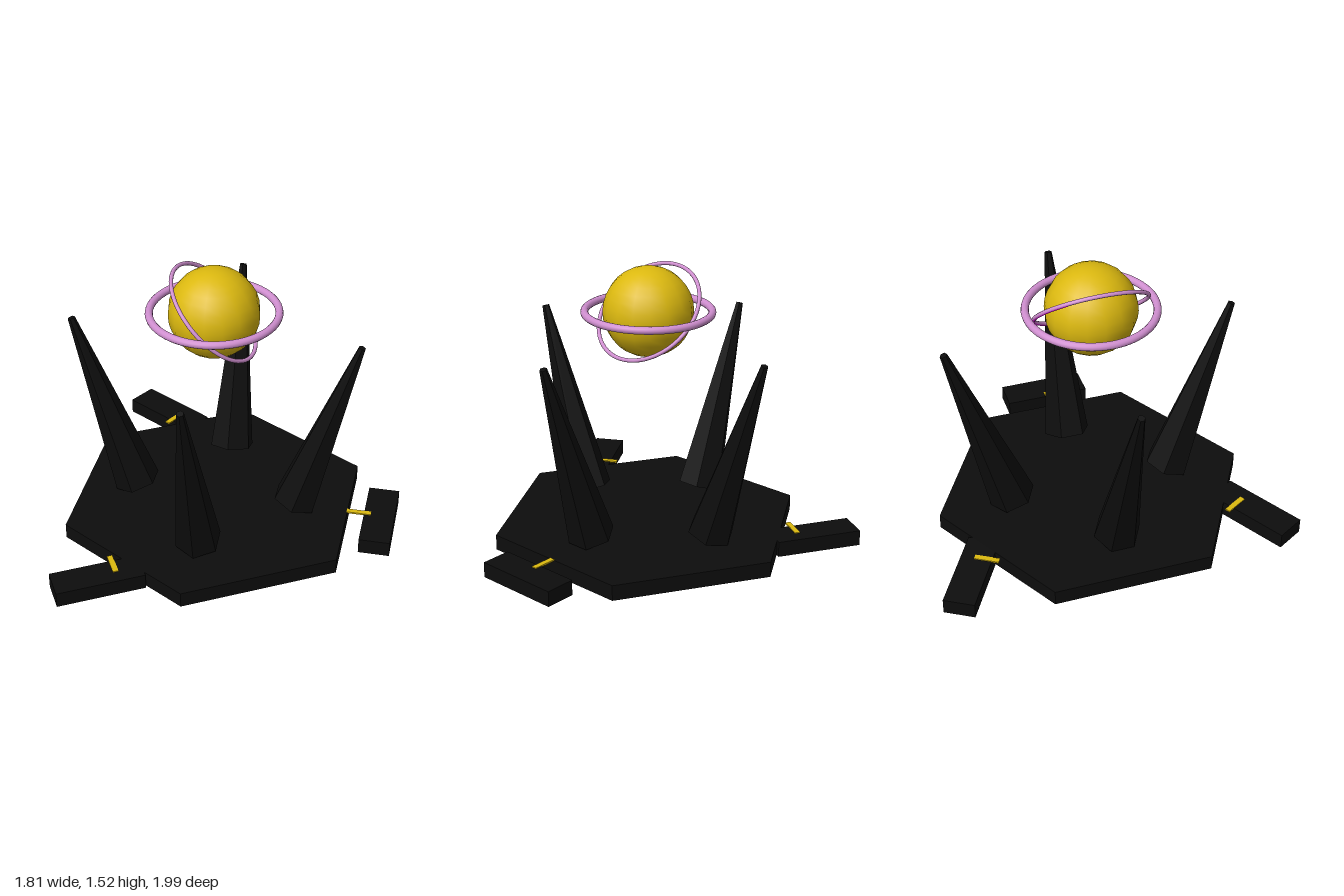
import * as THREE from 'three';

const mat = (name, color, flatShading = false) =>
  Object.assign(new THREE.MeshStandardMaterial({ color, flatShading }), { name });

export function createModel() {
  const black = mat('black stone', 0x0d0d0d, true);
  const gold = mat('gold', 0xdcb90f);
  const pink = mat('pink', 0xd08fd0);
  const magenta = mat('magenta', 0xcc22cc);

  const model = new THREE.Group();
  model.name = 'orbShrine';
  const body = new THREE.Group();
  body.name = 'shrine';
  body.position.x = -0.107;
  model.add(body);

  const add = (name, geometry, material, x = 0, y = 0, z = 0, parent = body) => {
    const mesh = new THREE.Mesh(geometry, material);
    mesh.name = name;
    mesh.position.set(x, y, z);
    parent.add(mesh);
    return mesh;
  };

  // Hexagonal platform
  add('platform', new THREE.CylinderGeometry(0.866, 0.866, 0.086, 6), black, 0, 0.043, 0);

  // Four six-sided spikes leaning outward
  const tilt = 0.31;
  const spikeGeo = new THREE.CylinderGeometry(0.02, 0.128, 1.076, 6);
  for (const [dx, dz] of [[1, 0], [-1, 0], [0, 1], [0, -1]]) {
    const spike = add('spike', spikeGeo, black, dx * 0.618, 0.638, dz * 0.618);
    spike.rotation.set(dz * tilt, 0, -dx * tilt);
  }

  // Three outlying blocks, each with a thin gold connector
  const blockGeo = new THREE.BoxGeometry(0.17, 0.086, 0.48);
  const stripGeo = new THREE.BoxGeometry(0.135, 0.009, 0.03);
  for (let i = 0; i < 3; i++) {
    const a = (i * Math.PI * 2) / 3;
    const c = Math.cos(a), s = Math.sin(a);
    add('block', blockGeo, black, c * 0.928, 0.043, s * 0.928).rotation.y = a;
    add('connector', stripGeo, gold, c * 0.814, 0.0865, s * 0.814).rotation.y = a;
  }

  // Floating orb and its rings
  const orb = new THREE.Group();
  orb.name = 'floatingOrb';
  orb.position.y = 1.276;
  body.add(orb);
  add('orb', new THREE.SphereGeometry(0.244, 16, 16), gold, 0, 0, 0, orb);
  add('levelRing', new THREE.TorusGeometry(0.34, 0.021, 12, 64), pink, 0, 0, 0, orb).rotation.x = Math.PI / 2;

  const tilted = new THREE.Group();
  tilted.name = 'tiltedRingGroup';
  tilted.rotation.z = -Math.PI / 4;
  orb.add(tilted);
  add('tiltedRing', new THREE.TorusGeometry(0.303, 0.011, 10, 64), pink, 0, 0, 0, tilted).rotation.x = Math.PI / 2;

  // Magenta inlay along the underside of the tilted ring's back
  const inlay = add('ringInlay', new THREE.TorusGeometry(0.303, 0.009, 8, 24, Math.PI * 0.6), magenta, 0, -0.0035, 0, tilted);
  inlay.rotation.set(-Math.PI / 2, 0, Math.PI * 0.2);

  return model;
}
